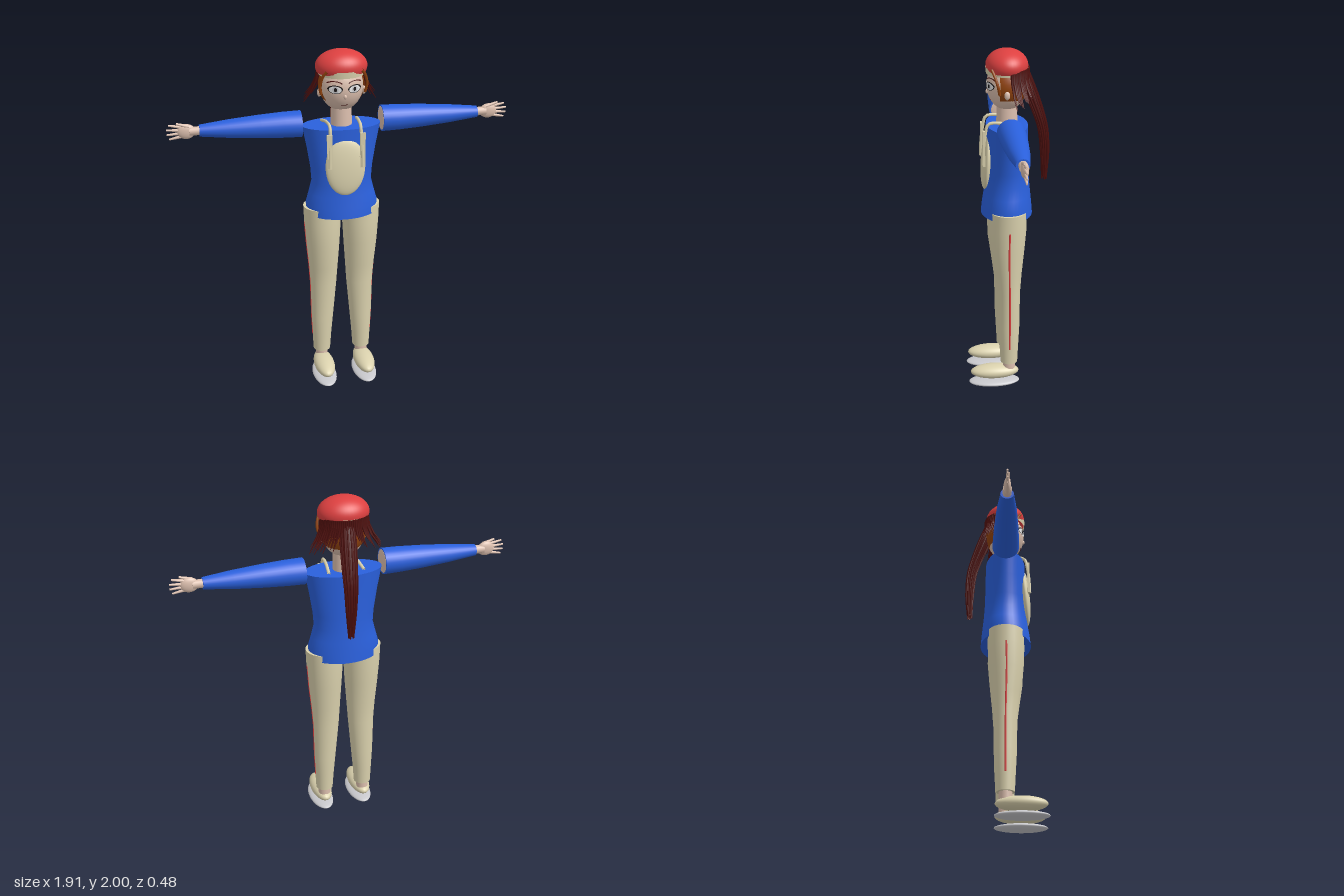
import * as THREE from 'three';

const mat = (name, color) => {
  const m = new THREE.MeshStandardMaterial({ color, side: THREE.DoubleSide });
  m.name = name;
  return m;
};

// Smooth closed skin through elliptical rings [y, cx, cz, rx, rz], lowest first
function loft(rings, n = 28) {
  const pos = [], idx = [];
  const addRing = ([y, cx, cz, rx, rz]) => {
    for (let j = 0; j < n; j++) {
      const t = (j / n) * Math.PI * 2;
      pos.push(cx + rx * Math.cos(t), y, cz + rz * Math.sin(t));
    }
  };
  rings.forEach(addRing);
  for (let i = 0; i < rings.length - 1; i++) {
    for (let j = 0; j < n; j++) {
      const a = i * n + j, b = i * n + ((j + 1) % n), c = a + n, d = b + n;
      idx.push(a, c, b, b, c, d);
    }
  }
  [rings[0], rings[rings.length - 1]].forEach((r, top) => {
    const base = pos.length / 3;
    addRing(r);
    pos.push(r[1], r[0], r[2]);
    for (let j = 0; j < n; j++) {
      const a = base + j, b = base + ((j + 1) % n);
      top ? idx.push(base + n, b, a) : idx.push(base + n, a, b);
    }
  });
  const g = new THREE.BufferGeometry();
  g.setAttribute('position', new THREE.Float32BufferAttribute(pos, 3));
  g.setIndex(idx);
  g.computeVertexNormals();
  return g;
}

const ball = (rx, ry, rz, n = 28) => new THREE.SphereGeometry(1, n, Math.ceil(n * 0.7)).scale(rx, ry, rz);

const tube = (points, r) => new THREE.TubeGeometry(
  new THREE.CatmullRomCurve3(points.map((p) => new THREE.Vector3(...p))), 20, r, 7);

export function createModel() {
  const skin = mat('skin', 0xdcbfae), cream = mat('cream cloth', 0xdbd2ae);
  const blue = mat('blue shirt', 0x2a60dc), red = mat('red', 0xdd4040);
  const maroon = mat('dark red hair', 0x4c0e0c), brown = mat('brown hair', 0x93440f);
  const grey = mat('sole grey', 0xc8c8cc), white = mat('eye white', 0xf0f0f0);
  const black = mat('black', 0x1c1818);

  const model = new THREE.Group();
  const add = (name, geo, material, x = 0, y = 0, z = 0) => {
    const m = new THREE.Mesh(geo, material);
    m.name = name;
    m.position.set(x, y, z);
    model.add(m);
    return m;
  };

  // Shirt body with belly patch
  add('shirt', loft([
    [1.06, 0, 0.003, 0.203, 0.146], [1.12, 0, 0.002, 0.205, 0.14], [1.18, 0, 0, 0.188, 0.132],
    [1.25, 0, 0, 0.17, 0.125], [1.33, 0, 0, 0.176, 0.12], [1.45, 0, 0, 0.195, 0.117],
    [1.58, 0, 0, 0.22, 0.116]], 40), blue);
  add('bellyPatch', ball(0.112, 0.166, 0.03), cream, 0, 1.366, 0.116).rotation.x = -0.08;
  add('neck', new THREE.CylinderGeometry(0.056, 0.06, 0.16, 24), skin, 0, 1.64, 0);

  // Head
  const HY = 1.8, HX = 0.12, HR = 0.14, HZ = 0.112;
  add('head', ball(HX, HR, HZ, 40), skin, 0, HY, 0);
  const scalp = new THREE.SphereGeometry(1, 36, 20, 0, Math.PI * 2, 0, 1.97);
  add('scalp', scalp.rotateX(-Math.PI / 2).scale(0.127, 0.13, 0.12), brown, 0, HY + 0.005, 0);
  add('nose', ball(0.009, 0.013, 0.01, 12), skin, 0, 1.765, 0.108);

  // Thin face details, bent onto the front of the head
  const onFace = (name, geo, material, x, y, off) => {
    geo.translate(x, y, 0);
    const p = geo.attributes.position;
    for (let i = 0; i < p.count; i++) {
      const u = p.getX(i) / HX, v = (p.getY(i) - HY) / HR;
      p.setZ(i, HZ * Math.sqrt(Math.max(0, 1 - u * u - v * v)) + off);
    }
    geo.computeVertexNormals();
    add(name, geo, material);
  };
  const oval = (rx, ry) => new THREE.RingGeometry(0.001, 1, 24, 4).scale(rx, ry, 1);
  const arc = (rx, ry, from, len, w) => new THREE.RingGeometry(1 - w, 1, 20, 1, from, len).scale(rx, ry, 1);
  for (const s of [1, -1]) {
    onFace('eyeWhite', oval(0.036, 0.021), white, s * 0.053, 1.806, 0.002);
    onFace('iris', oval(0.016, 0.019), grey, s * 0.053, 1.806, 0.003);
    onFace('pupil', oval(0.008, 0.011), black, s * 0.053, 1.806, 0.004);
    onFace('eyelid', arc(0.04, 0.024, 0, Math.PI, 0.2), black, s * 0.053, 1.806, 0.004);
    onFace('lowerLid', arc(0.037, 0.022, Math.PI, Math.PI, 0.1), black, s * 0.053, 1.806, 0.004);
    onFace('eyebrow', arc(0.045, 0.022, 0.4, 2.3, 0.2), maroon, s * 0.055, 1.83, 0.003);
  }
  onFace('mouth', new THREE.PlaneGeometry(0.04, 0.004, 8, 1), maroon, 0, 1.714, 0.003);

  // Cap with its band
  add('cap', new THREE.SphereGeometry(1, 40, 20, 0, Math.PI * 2, 0, Math.PI * 0.61)
    .scale(0.143, 0.09, 0.117), red, 0, 1.91, 0);
  add('capBand', new THREE.CylinderGeometry(1, 0.97, 0.035, 40, 1, true)
    .scale(0.129, 1, 0.118), cream, 0, 1.884, 0);

  // Short strands flaring out around the back of the head
  const N = 36;
  for (let i = 0; i <= N; i++) {
    const a = 0.12 + (i / N) * (Math.PI - 0.24), c = Math.cos(a), s = Math.sin(a);
    const tipY = 1.77 - 0.05 * c * c + 0.012 * ((i * 7) % 4 - 1.5);
    const rings = [0, 0.3, 0.65, 1].map((t) => {
      const f = (1 - t) * (1 - t);
      const r = 0.002 + 0.007 * Math.sqrt(t);
      return [tipY + (1.9 - tipY) * t, c * (0.128 + 0.076 * f), -s * 0.118 - 0.024 * f, r, r];
    });
    add('hairStrand', loft(rings, 7), maroon);
  }

  // Ponytail: a core wrapped in long strands
  const tail = [[1.27, 0.02, -0.21, 0.012, 0.012], [1.4, 0.02, -0.212, 0.026, 0.021],
    [1.55, 0.018, -0.2, 0.036, 0.026], [1.64, 0.017, -0.175, 0.04, 0.03],
    [1.75, 0.012, -0.135, 0.043, 0.035], [1.84, 0.008, -0.105, 0.04, 0.03], [1.9, 0.005, -0.085, 0.03, 0.025]];
  add('ponytail', loft(tail, 20), maroon);
  for (let k = 0; k < 14; k++) {
    const a = (k / 14) * Math.PI * 2;
    const pts = tail.map(([y, x, z, rx, rz], i) => [x + rx * Math.cos(a),
      i ? y : y - 0.015 + 0.012 * (k % 4), z + rz * Math.sin(a)]);
    add('ponytailStrand', tube(pts, 0.005), maroon);
  }

  for (const s of [1, -1]) {
    // Side lock, ear and shoulder cord
    add('sideLock', tube([[s * 0.095, 1.905, 0.09], [s * 0.118, 1.87, 0.075],
      [s * 0.13, 1.82, 0.06], [s * 0.122, 1.77, 0.05]], 0.008), brown);
    add('ear', ball(0.012, 0.024, 0.016, 14), skin, s * 0.124, 1.768, 0.01);
    add('shoulderCord', tube([[s * 0.1, 1.585, -0.06], [s * 0.09, 1.605, 0.03], [s * 0.085, 1.6, 0.11],
      [s * 0.087, 1.54, 0.128], [s * 0.09, 1.46, 0.138], [s * 0.092, 1.37, 0.142]], 0.009), cream);
    add('cordEnd', new THREE.BoxGeometry(0.03, 0.2, 0.012), cream, s * 0.092, 1.465, 0.136);

    // Sleeve and shoulder
    const AY = 1.594, turn = -s * Math.PI / 2;
    add('sleeve', loft([[0.226, 0, 0, 0.073, 0.077], [0.32, 0, 0, 0.071, 0.075], [0.45, 0, 0, 0.064, 0.068],
      [0.62, 0, 0, 0.05, 0.056], [0.78, 0, 0, 0.032, 0.036]]).rotateZ(turn), blue, 0, AY, 0);
    add('shoulder', ball(0.008, 0.066, 0.069), skin, s * 0.227, AY, 0);

    // Hand
    add('wrist', new THREE.CylinderGeometry(0.024, 0.024, 0.07, 16).rotateZ(turn), skin, s * 0.8, AY, 0);
    add('palm', ball(0.05, 0.042, 0.02), skin, s * 0.85, AY, 0);
    for (let f = 0; f < 4; f++) {
      const k = f - 1.5, len = 0.1 - 0.012 * Math.abs(k);
      const finger = add('finger', new THREE.CylinderGeometry(0.005, 0.01, len, 10),
        skin, s * (0.862 + len / 2), AY + k * 0.021, 0);
      finger.rotation.z = turn + s * k * 0.13;
    }
    const thumb = add('thumb', new THREE.CylinderGeometry(0.006, 0.011, 0.07, 10), skin, s * 0.868, AY + 0.038, 0.006);
    thumb.rotation.z = turn + s * 0.3;

    // Trouser leg with side stripe
    const leg = [[0.15, 0.12, 0, 0.05, 0.05], [0.25, 0.119, 0, 0.056, 0.055], [0.38, 0.116, 0, 0.065, 0.062],
      [0.6, 0.108, 0, 0.077, 0.066], [0.72, 0.108, 0.003, 0.085, 0.078], [0.87, 0.11, 0.006, 0.097, 0.096],
      [1.0, 0.111, 0.003, 0.105, 0.104], [1.1, 0.112, 0.002, 0.108, 0.103]]
      .map(([y, x, ...r]) => [y, s * x, ...r]);
    add('trouserLeg', loft(leg), cream);
    add('sideStripe', loft(leg.slice(1, 7).map(([y, x, z, rx]) => [y, x + s * rx, z, 0.003, 0.005]), 8), red);

    // Ankle and shoe
    add('ankle', new THREE.CylinderGeometry(0.036, 0.036, 0.08, 20), skin, s * 0.121, 0.125, 0);
    add('shoe', ball(0.06, 0.042, 0.143), cream, s * 0.122, 0.087, 0.085);
    add('sole', ball(0.07, 0.021, 0.15), grey, s * 0.122, 0.022, 0.088);
  }
  return model;
}
